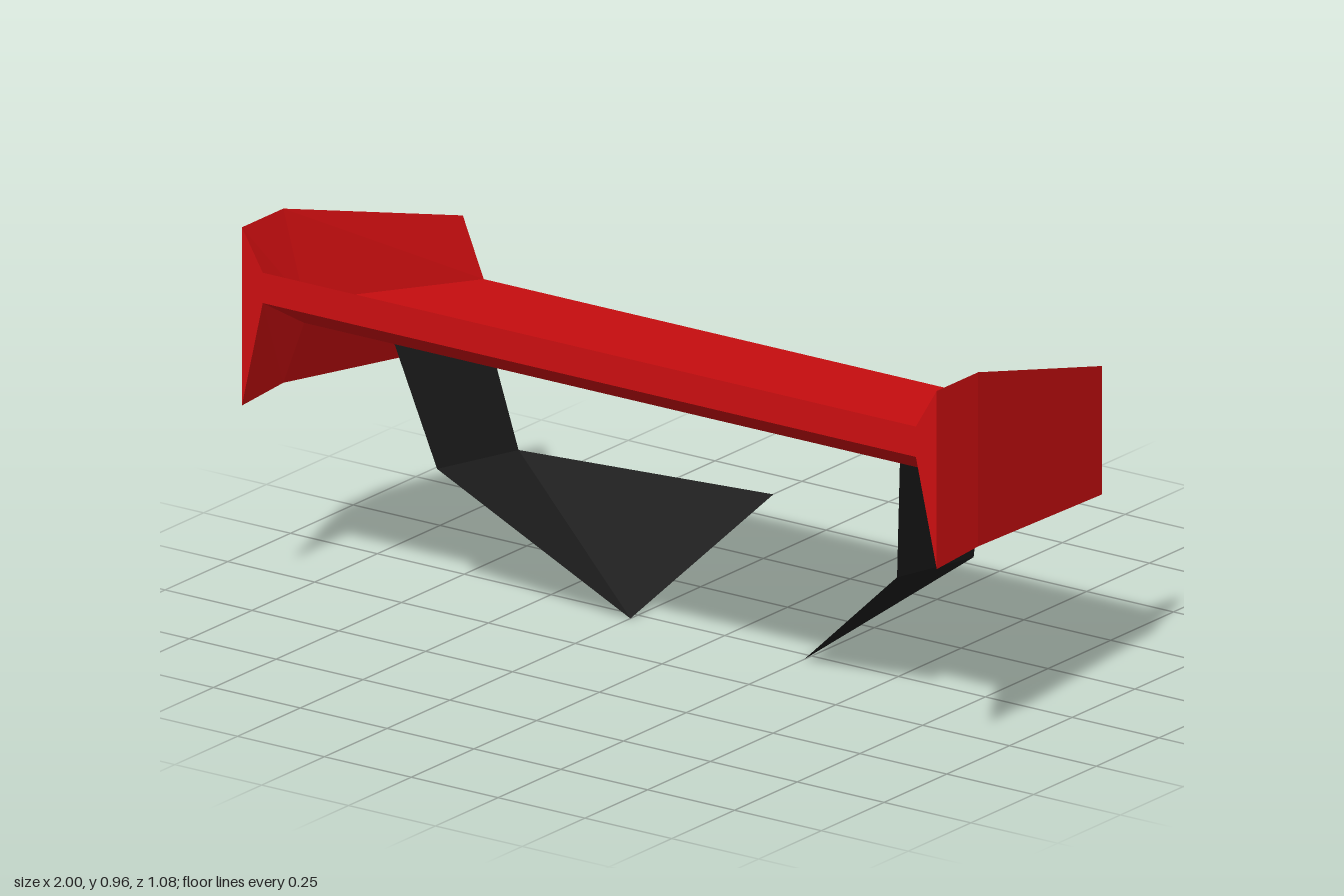
import * as THREE from 'three';

const red = new THREE.MeshStandardMaterial({ color: 0xcc0e10, flatShading: true });
const black = new THREE.MeshStandardMaterial({ color: 0x1c1c1c, flatShading: true, side: THREE.DoubleSide });

// Stations from nose to tail: z, inner x, outer x, wing underside and top, plate foot and crown
const stations = [
  { z: 0.54, xi: 0.94, xo: 1.0, under: 0.785, top: 0.86, foot: 0.52, crown: 0.96 },
  { z: 0.375, xi: 0.94, xo: 1.0, under: 0.69, top: 0.745, foot: 0.53, crown: 0.96 },
  { z: -0.23, xi: 0.86, xo: 0.92, under: 0.63, top: 0.645, foot: 0.473, crown: 0.79 },
];

function meshFrom(name, points, index, material) {
  const geometry = new THREE.BufferGeometry();
  geometry.setAttribute('position', new THREE.Float32BufferAttribute(points.flat(), 3));
  geometry.setIndex(index);
  const flat = geometry.toNonIndexed();
  flat.computeVertexNormals();
  const mesh = new THREE.Mesh(flat, material);
  mesh.name = name;
  return mesh;
}

// Closed solid through four-cornered rings, counterclockwise seen from the front
function loft(name, rings, material) {
  const index = [0, 1, 2, 0, 2, 3];
  for (let i = 0; i < rings.length - 1; i++) {
    for (let j = 0; j < 4; j++) {
      const a = i * 4 + j, b = i * 4 + (j + 1) % 4;
      index.push(a, a + 4, b, b, a + 4, b + 4);
    }
  }
  const e = (rings.length - 1) * 4;
  index.push(e, e + 2, e + 1, e, e + 3, e + 2);
  return meshFrom(name, rings.flat(), index, material);
}

// Flared end plate, wedge-shaped between the wing tip and a tall outer face
function endPlate(name, side) {
  const rings = stations.map(({ z, xi, xo, under, top, foot, crown }) => {
    const ring = [[side * xi, under, z], [side * xo, foot, z], [side * xo, crown, z], [side * xi, top, z]];
    return side < 0 ? ring.reverse() : ring;
  });
  return loft(name, rings, red);
}

// Thin bent support: upright blade, then a twisted foot reaching inward and back
function strut(name, side) {
  const points = [
    [0.732, 0.685, 0.315], [0.728, 0.652, -0.037], // top edge under the wing
    [0.662, 0.345, 0.23], [0.655, 0.305, -0.085], // bend
    [0.25, 0.003, 0.03], [0.25, 0.15, -0.54], // foot
  ].map(([x, y, z]) => [side * x, y, z]);
  const index = [0, 2, 1, 1, 2, 3, 2, 4, 3, 3, 4, 5];
  return meshFrom(name, points, side < 0 ? index.reverse() : index, black);
}

export function createModel() {
  const group = new THREE.Group();
  group.name = 'rearWing';

  // Main blade
  group.add(loft('wingBlade', stations.map(({ z, xi, under, top }) => [
    [-xi, under, z], [xi, under, z], [xi, top, z], [-xi, top, z],
  ]), red));

  for (const [label, side] of [['left', 1], ['right', -1]]) {
    group.add(endPlate(label + 'EndPlate', side), strut(label + 'Strut', side));
  }
  return group;
}
